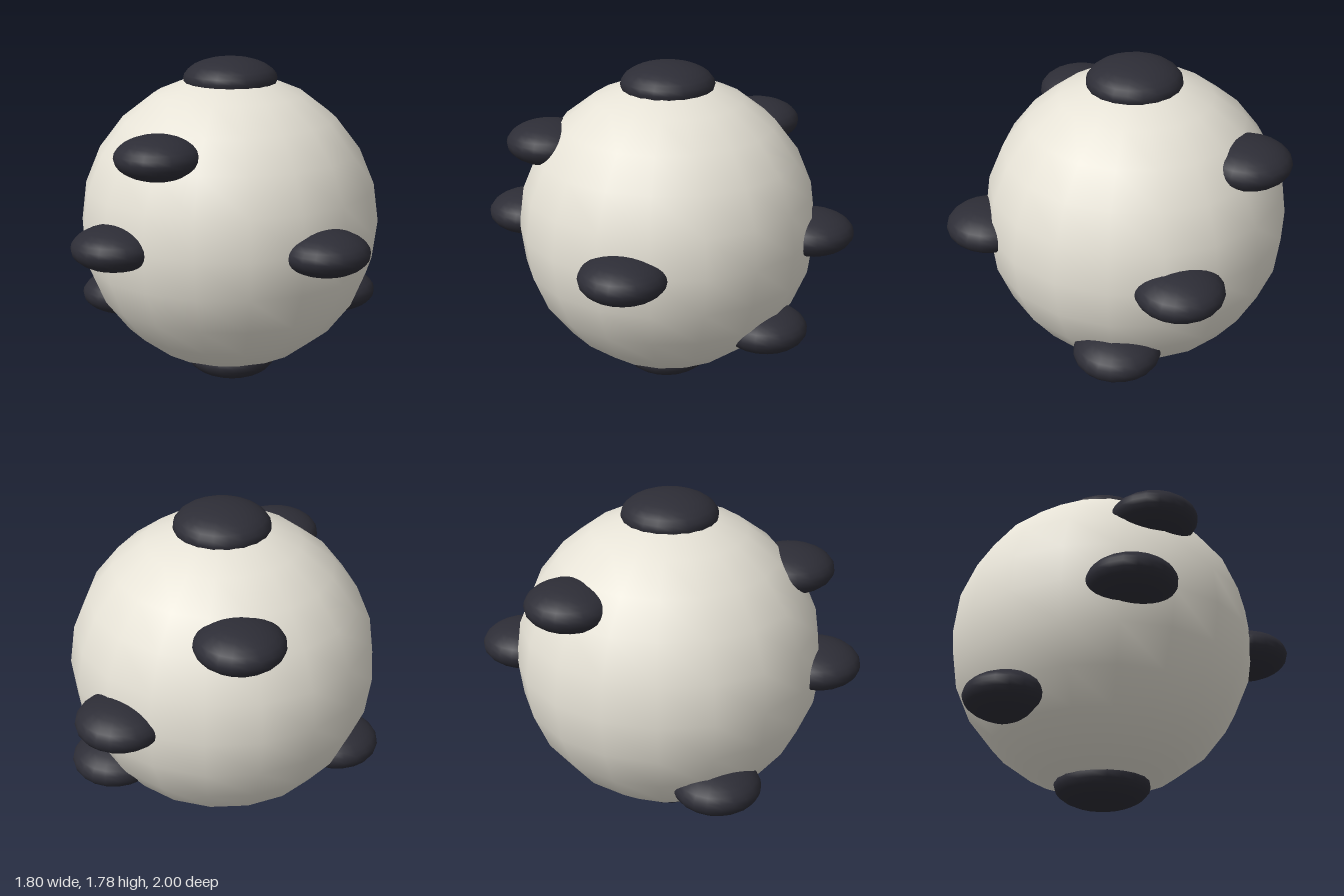
import * as THREE from 'three';

export function createModel() {
  const model = new THREE.Group();
  const cream = new THREE.MeshStandardMaterial({ color: 0xe6e2d6 });
  cream.name = 'cream';
  const charcoal = new THREE.MeshStandardMaterial({ color: 0x2d2d36 });
  charcoal.name = 'charcoal';

  const centre = new THREE.Vector3(-0.11, 0.888, 0);

  // Main ball, turned so that a column of vertices faces the front
  const ball = new THREE.Mesh(new THREE.SphereGeometry(0.802, 18, 12), cream);
  ball.name = 'ball';
  ball.rotation.y = Math.PI / 2;
  ball.position.copy(centre);
  model.add(ball);

  // Flattened spots sunk into the ball: name, offset from centre, radii
  const unit = new THREE.SphereGeometry(1, 20, 14);
  const side = [0.226, 0.114, 0.226];
  const spots = [
    ['topSpot', [0.01, 0.775, 0], [0.249, 0.1125, 0.249]],
    ['bottomSpot', [0.008, -0.775, 0], [0.249, 0.1125, 0.236]],
    ['frontSpot', [0.063, 0, 0.774], side],
    ['backSpot', [-0.08, 0, -0.774], side],
    ['sideSpot', [0.783, 0, 0], side],
    ['upperFrontSpot', [0.2, 0.462, 0.595], side],
    ['lowerBackSpot', [0.2, -0.462, -0.595], side],
    ['upperBackSpot', [-0.5, 0.462, -0.372], side],
    ['lowerFrontSpot', [-0.5, -0.462, 0.372], side],
  ];
  for (const [name, offset, radii] of spots) {
    const spot = new THREE.Mesh(unit, charcoal);
    spot.name = name;
    spot.position.set(...offset).add(centre);
    spot.scale.set(...radii);
    model.add(spot);
  }
  return model;
}
